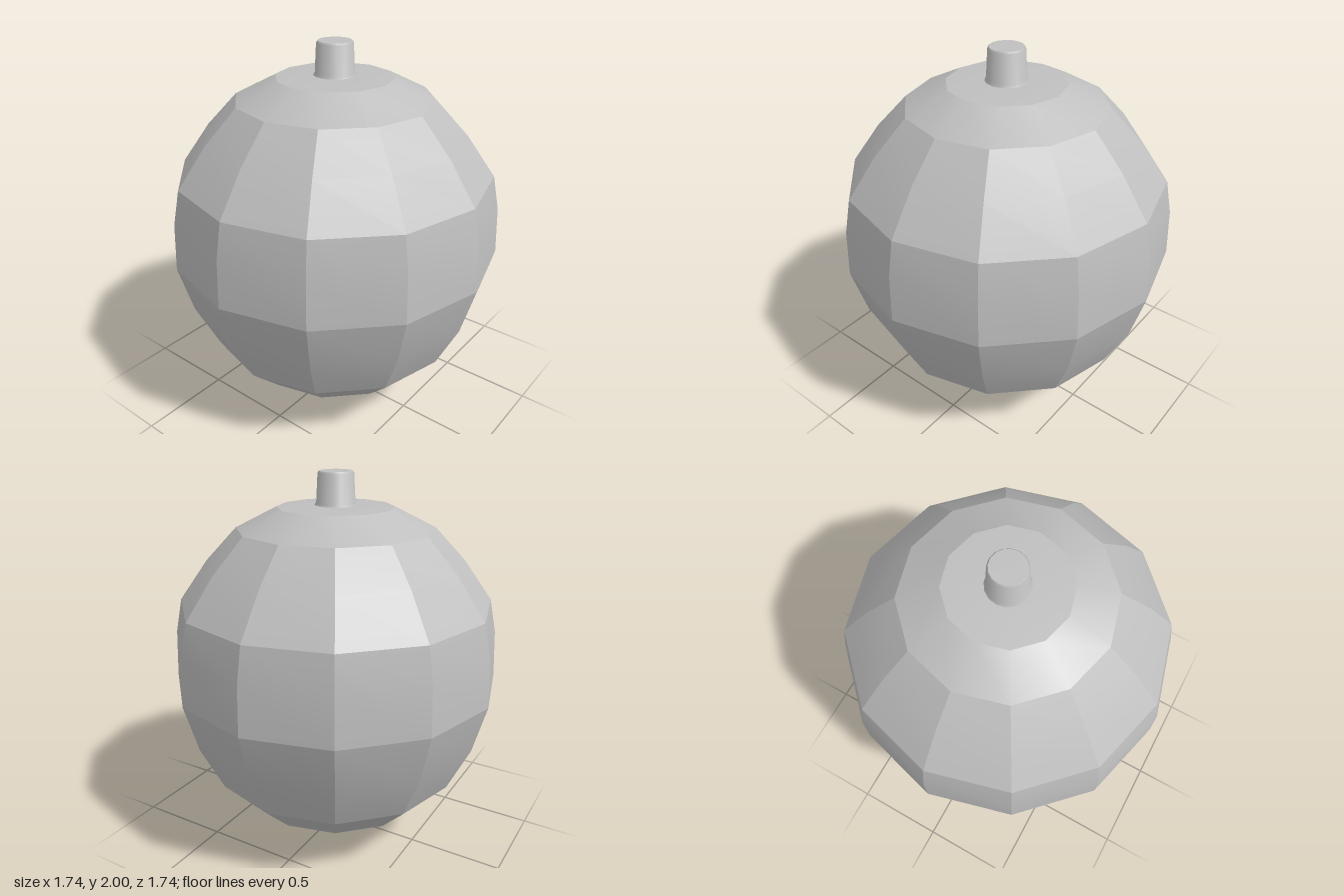
import * as THREE from 'three';
import { toCreasedNormals } from 'three/addons/utils/BufferGeometryUtils.js';

// Turn a [radius, height] profile (bottom to top) into a faceted solid
function turned(name, profile, sides, crease, material) {
  const points = profile.map(([r, y]) => new THREE.Vector2(r, y));
  const geometry = toCreasedNormals(new THREE.LatheGeometry(points, sides), crease);
  const mesh = new THREE.Mesh(geometry, material);
  mesh.name = name;
  return mesh;
}

export function createModel() {
  const group = new THREE.Group();
  group.name = 'ornament';
  const grey = new THREE.MeshStandardMaterial({ color: 0xbfbfbf });
  grey.name = 'plain grey';

  // Twelve-sided bulb tapering to a point below; only strong bends stay sharp
  group.add(turned('bulb', [
    [0, 0], [0.03, 0.008], [0.5, 0.22], [0.68, 0.4], [0.8, 0.65], [0.87, 0.91],
    [0.857, 1.16], [0.82, 1.34], [0.67, 1.55], [0.51, 1.72], [0.3, 1.825], [0, 1.84],
  ], 12, 0.25, grey));

  // Short round stem with a slight flare at its foot and a softened rim
  group.add(turned('stem', [
    [0.115, 1.825], [0.1, 1.845], [0.092, 1.99], [0.085, 2], [0, 2],
  ], 16, 0.7, grey));

  return group;
}
